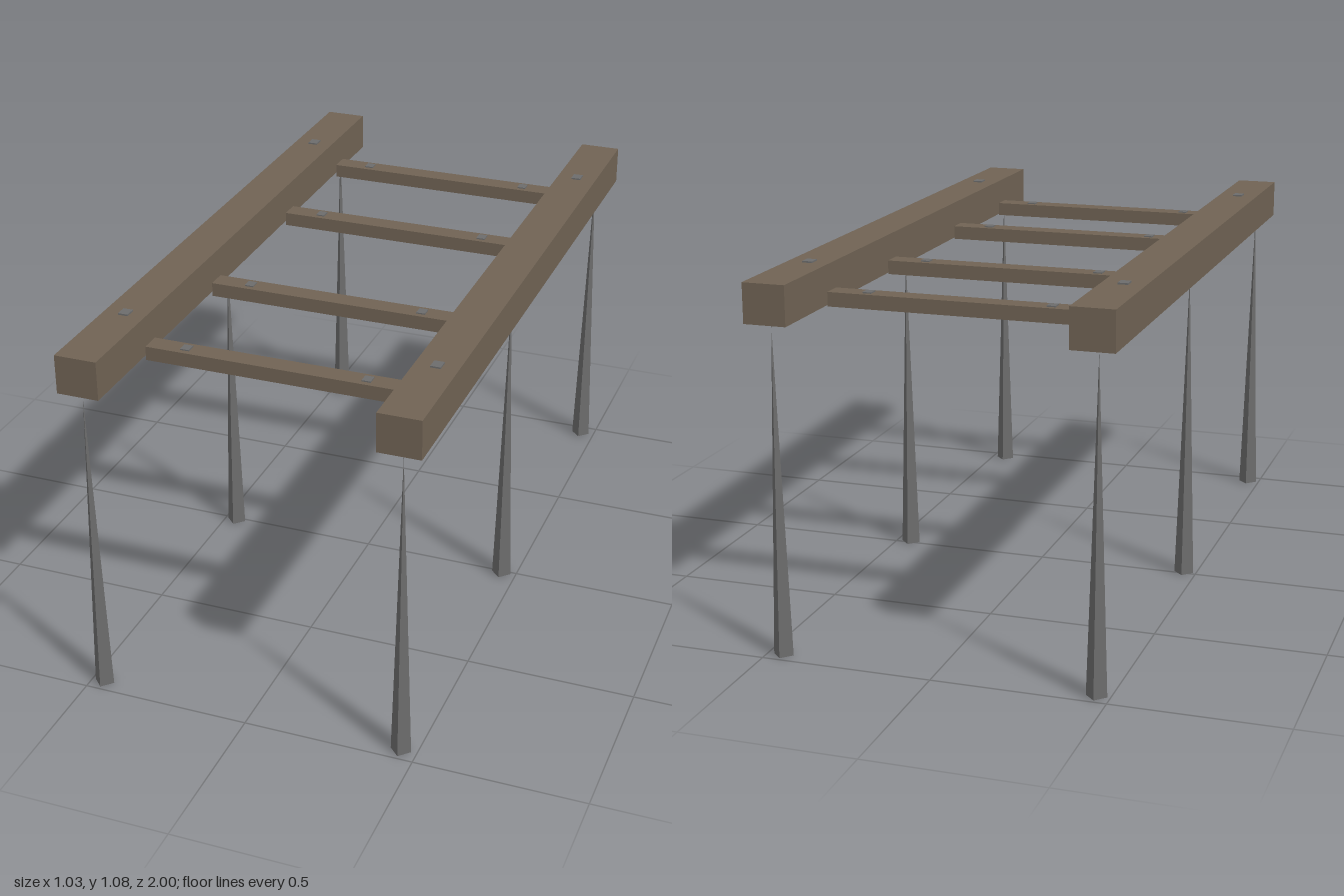
import * as THREE from 'three';

export function createModel() {
  const group = new THREE.Group();
  const wood = new THREE.MeshStandardMaterial({ color: 0x706354 });
  wood.name = 'weathered wood';
  const metal = new THREE.MeshStandardMaterial({ color: 0x6c6c6c, flatShading: true });
  metal.name = 'grey metal';

  function add(name, geometry, material, x, y, z) {
    const mesh = new THREE.Mesh(geometry, material);
    mesh.name = name;
    mesh.position.set(x, y, z);
    group.add(mesh);
  }

  for (const side of [-1, 1]) {
    // Long side beams with a bolt near each end
    add('sideBeam', new THREE.BoxGeometry(0.123, 0.114, 2), wood, side * 0.454, 1.015, 0);
    for (const z of [-0.702, 0.702]) {
      add('beamBolt', new THREE.BoxGeometry(0.029, 0.01, 0.034), metal, side * 0.454, 1.0715, z);
    }

    // Slender four-sided spikes carrying the beams
    const legX = side < 0 ? -0.461 : 0.453;
    for (const [z, height] of [[0.96, 0.935], [0.01, 0.945], [-0.96, 0.95]]) {
      add('leg', new THREE.ConeGeometry(0.03, height, 4), metal, legX, height / 2, z);
    }
  }

  // Cross rungs, each with two bolts
  for (const z of [-0.73, -0.288, 0.276, 0.718]) {
    add('rung', new THREE.BoxGeometry(0.752, 0.041, 0.06), wood, 0.001, 0.983, z);
    for (const x of [-0.264, 0.266]) {
      add('rungBolt', new THREE.BoxGeometry(0.026, 0.01, 0.03), metal, x, 1.002, z);
    }
  }

  return group;
}
